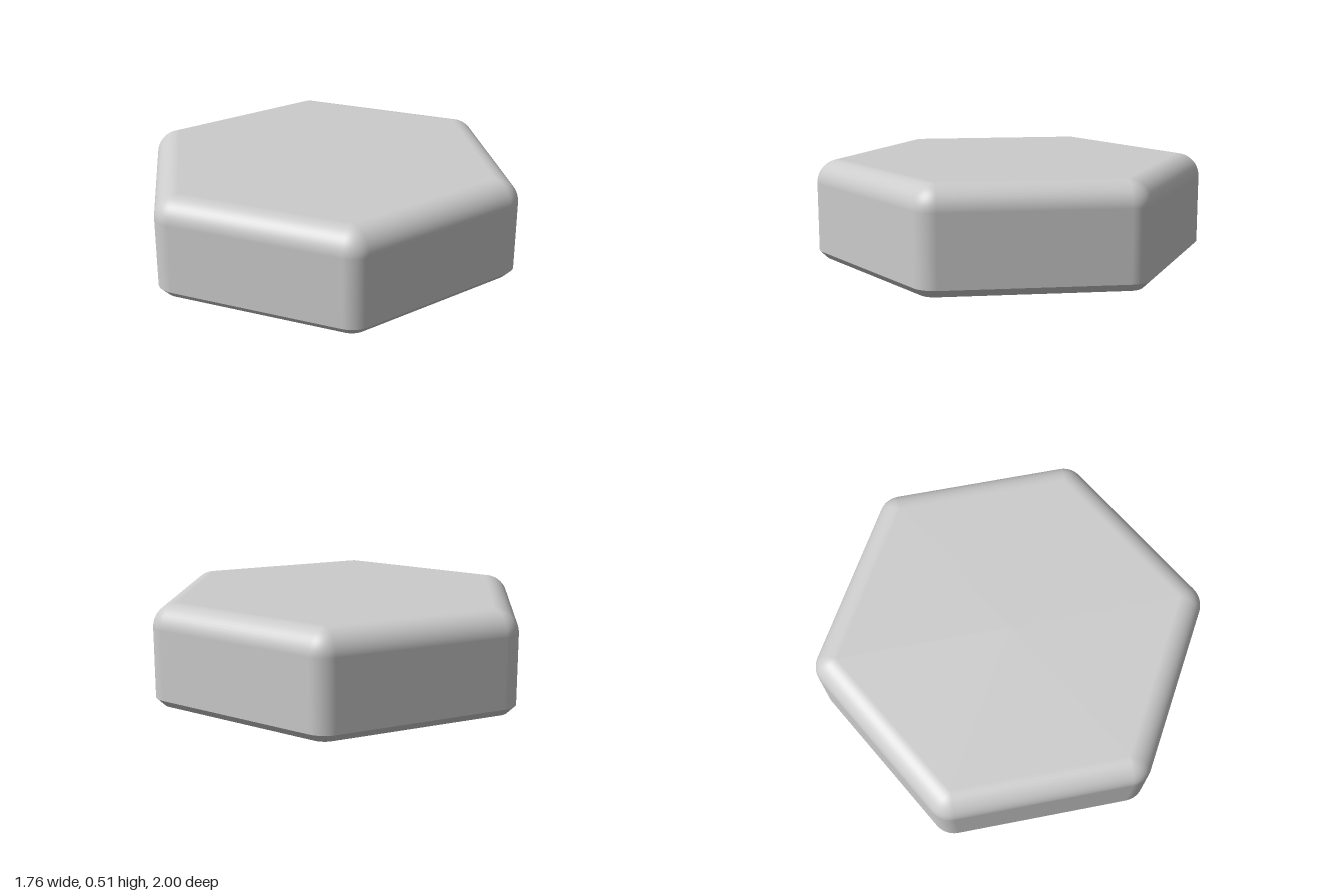
import * as THREE from 'three';

const ROUND = 0.12;          // radius of the vertical corners and the top edge
const CORE = 1 - ROUND;      // corner distance of the hexagon the rounding rolls around
const HEIGHT = 0.51;
const CHAMFER = 0.04;
const STEPS = 12;

// Directions around the outline: each corner sweeps 60 degrees between two sides
function outlineDirections() {
  const points = [];
  for (let k = 0; k < 6; k++) {
    const corner = k * Math.PI / 3;
    for (let i = 0; i <= STEPS; i++) {
      points.push({ corner, angle: corner + (i / STEPS - 0.5) * Math.PI / 3 });
    }
  }
  return points;
}

// Skins bands of profile rows; bands share no vertices, so edges between them stay sharp.
// Row: core scale, outward offset, height, outward normal, upward normal
function skinBands(bands) {
  const outline = outlineDirections();
  const n = outline.length;
  const position = [], normal = [], index = [];
  for (const rows of bands) {
    const start = position.length / 3;
    rows.forEach(([scale, offset, y, out, up], j) => {
      for (const { corner, angle } of outline) {
        const sx = Math.sin(angle), cz = Math.cos(angle);
        position.push(
          scale * CORE * Math.sin(corner) + offset * sx, y,
          scale * CORE * Math.cos(corner) + offset * cz);
        normal.push(out * sx, up, out * cz);
      }
      if (j === 0) return;
      for (let i = 0; i < n; i++) {
        const a = start + (j - 1) * n + i, b = start + (j - 1) * n + (i + 1) % n;
        index.push(a, b, b + n, a, b + n, a + n);
      }
    });
  }
  const geometry = new THREE.BufferGeometry();
  geometry.setAttribute('position', new THREE.Float32BufferAttribute(position, 3));
  geometry.setAttribute('normal', new THREE.Float32BufferAttribute(normal, 3));
  geometry.setIndex(index);
  return geometry;
}

export function createModel() {
  const d = Math.SQRT1_2;
  const inset = ROUND - CHAMFER;

  // Flat underside and its chamfer
  const base = [[0, 0, 0, 0, -1], [1, inset, 0, 0, -1]];
  const chamfer = [[1, inset, 0, d, -d], [1, ROUND, CHAMFER, d, -d]];

  // Straight wall, quarter-round top edge and flat top
  const body = [[1, ROUND, CHAMFER, 1, 0]];
  for (let i = 0; i <= STEPS; i++) {
    const t = (i / STEPS) * Math.PI / 2;
    const c = Math.cos(t), s = Math.sin(t);
    body.push([1, ROUND * c, HEIGHT - ROUND + ROUND * s, c, s]);
  }
  body.push([0, 0, HEIGHT, 0, 1]);

  const tile = new THREE.Mesh(
    skinBands([base, chamfer, body]),
    new THREE.MeshStandardMaterial({ color: 0xcccccc }));
  tile.name = 'hexagonalTile';

  const model = new THREE.Group();
  model.name = 'roundedHexagonTile';
  model.add(tile);
  return model;
}
